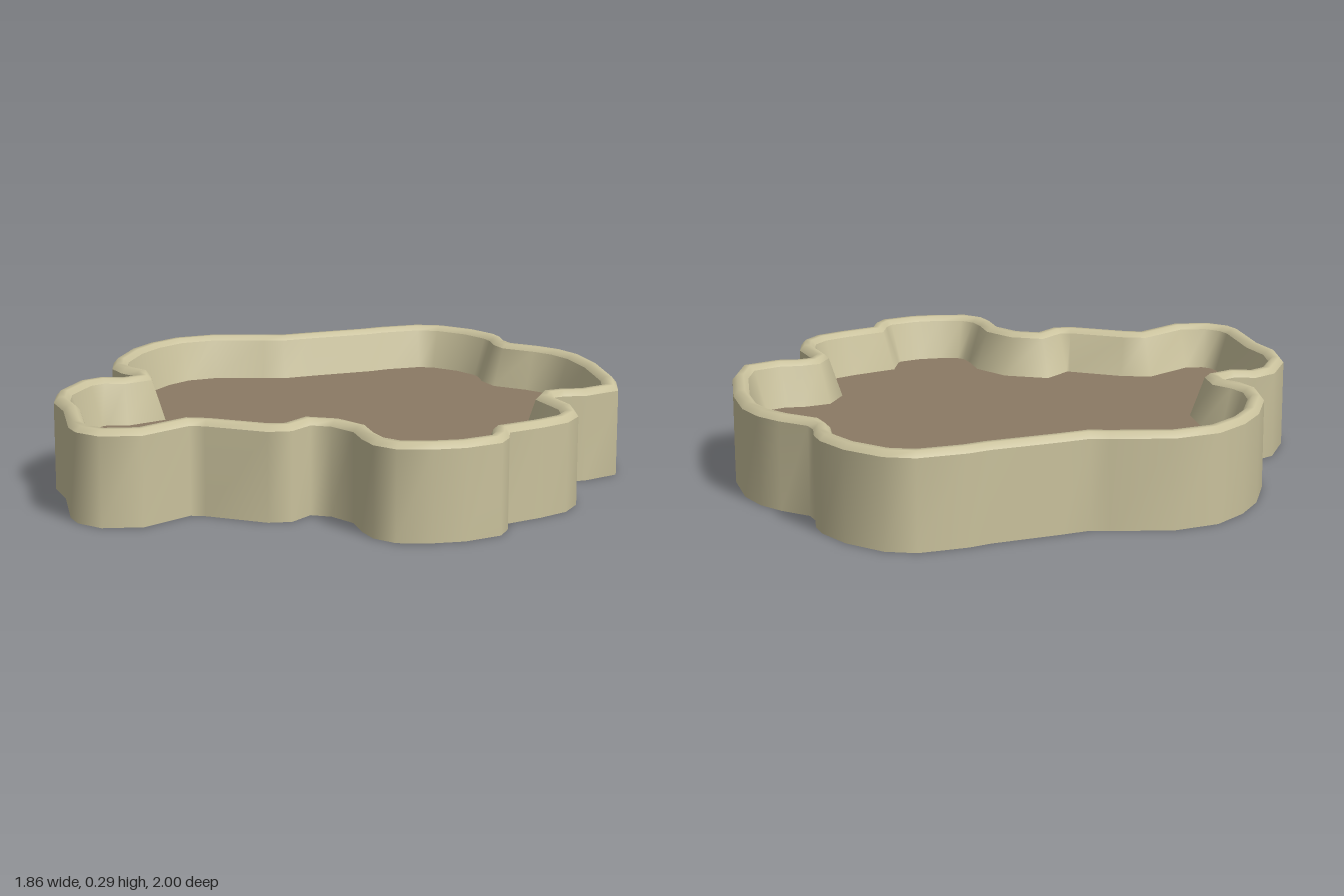
import * as THREE from 'three';

// Outer outline as x, z pairs, counter-clockwise seen from above
const OUTLINE = [
  -0.33, -1.0, -0.465, -0.97, -0.54, -0.91, -0.6, -0.77, -0.615, -0.7, -0.69, -0.5,
  -0.72, -0.41, -0.76, -0.37, -0.885, -0.23, -0.93, -0.09, -0.91, 0.04, -0.86, 0.16,
  -0.76, 0.3, -0.68, 0.365, -0.6, 0.385, -0.535, 0.38, -0.49, 0.41, -0.495, 0.465,
  -0.545, 0.51, -0.545, 0.6, -0.46, 0.745, -0.375, 0.815, -0.26, 0.86, -0.065, 0.98,
  0, 1.0, 0.09, 0.98, 0.165, 0.88, 0.155, 0.7, 0.19, 0.67, 0.37, 0.58,
  0.41, 0.52, 0.39, 0.43, 0.445, 0.395, 0.54, 0.395, 0.625, 0.44, 0.7, 0.465,
  0.78, 0.45, 0.85, 0.375, 0.9, 0.29, 0.925, 0.17, 0.895, 0.11, 0.85, 0.06,
  0.87, -0.06, 0.875, -0.165, 0.84, -0.25, 0.77, -0.31, 0.635, -0.36, 0.61, -0.4,
  0.62, -0.435, 0.66, -0.49, 0.675, -0.625, 0.58, -0.725, 0.395, -0.855, 0.245, -0.93,
  0.14, -0.95, 0.05, -0.94, -0.05, -0.91, -0.095, -0.925, -0.15, -0.965, -0.21, -0.99,
];
const FLOOR_Y = 0.15;
const FLOOR_INSET = 0.09;

const points = [];
for (let i = 0; i < OUTLINE.length; i += 2) points.push(new THREE.Vector2(OUTLINE[i], OUTLINE[i + 1]));
const count = points.length;

// Inward mitre direction at every outline point
const inward = points.map((p, i) => {
  const edgeNormal = (a, b) => new THREE.Vector2(b.y - a.y, a.x - b.x).normalize();
  const n1 = edgeNormal(points[(i + count - 1) % count], p);
  const n2 = edgeNormal(p, points[(i + 1) % count]);
  const mid = n1.clone().add(n2).normalize();
  return mid.divideScalar(Math.max(mid.dot(n1), 0.75));
});

const insetRing = (inset) => points.map((p, i) => p.clone().addScaledVector(inward[i], inset));

// Sweeps a profile of [inset, height] pairs round the closed outline
function sweep(profile) {
  const positions = [];
  const indices = [];
  profile.forEach(([inset, y], r) => {
    insetRing(inset).forEach((p, i) => {
      positions.push(p.x, y, p.y);
      if (r === 0) return;
      const j = (i + 1) % count;
      const low = (r - 1) * count;
      const high = r * count;
      indices.push(low + i, low + j, high + j, low + i, high + j, high + i);
    });
  });
  const geometry = new THREE.BufferGeometry();
  geometry.setAttribute('position', new THREE.Float32BufferAttribute(positions, 3));
  geometry.setIndex(indices);
  geometry.computeVertexNormals();
  return geometry;
}

export function createModel() {
  const group = new THREE.Group();
  group.name = 'tray';
  const wallMaterial = new THREE.MeshStandardMaterial({ color: 0xc9c19c, side: THREE.DoubleSide });
  wallMaterial.name = 'pale sand';
  const floorMaterial = new THREE.MeshStandardMaterial({ color: 0x8b7a64, side: THREE.DoubleSide });
  floorMaterial.name = 'earth brown';

  const add = (name, geometry, material) => {
    const mesh = new THREE.Mesh(geometry, material);
    mesh.name = name;
    group.add(mesh);
  };

  // Upright outer wall, rounded rim and sloping inner wall
  add('outerWall', sweep([[0, 0], [0, 0.275]]), wallMaterial);
  add('rim', sweep([[0, 0.275], [0.015, 0.293], [0.035, 0.293], [0.05, 0.278]]), wallMaterial);
  add('innerWall', sweep([[0.05, 0.278], [FLOOR_INSET, FLOOR_Y]]), wallMaterial);

  // Raised floor, open underneath
  const shape = new THREE.Shape(insetRing(FLOOR_INSET).map((p) => new THREE.Vector2(p.x, -p.y)));
  const floor = new THREE.ShapeGeometry(shape).rotateX(-Math.PI / 2).translate(0, FLOOR_Y, 0);
  add('floor', floor, floorMaterial);

  return group;
}
